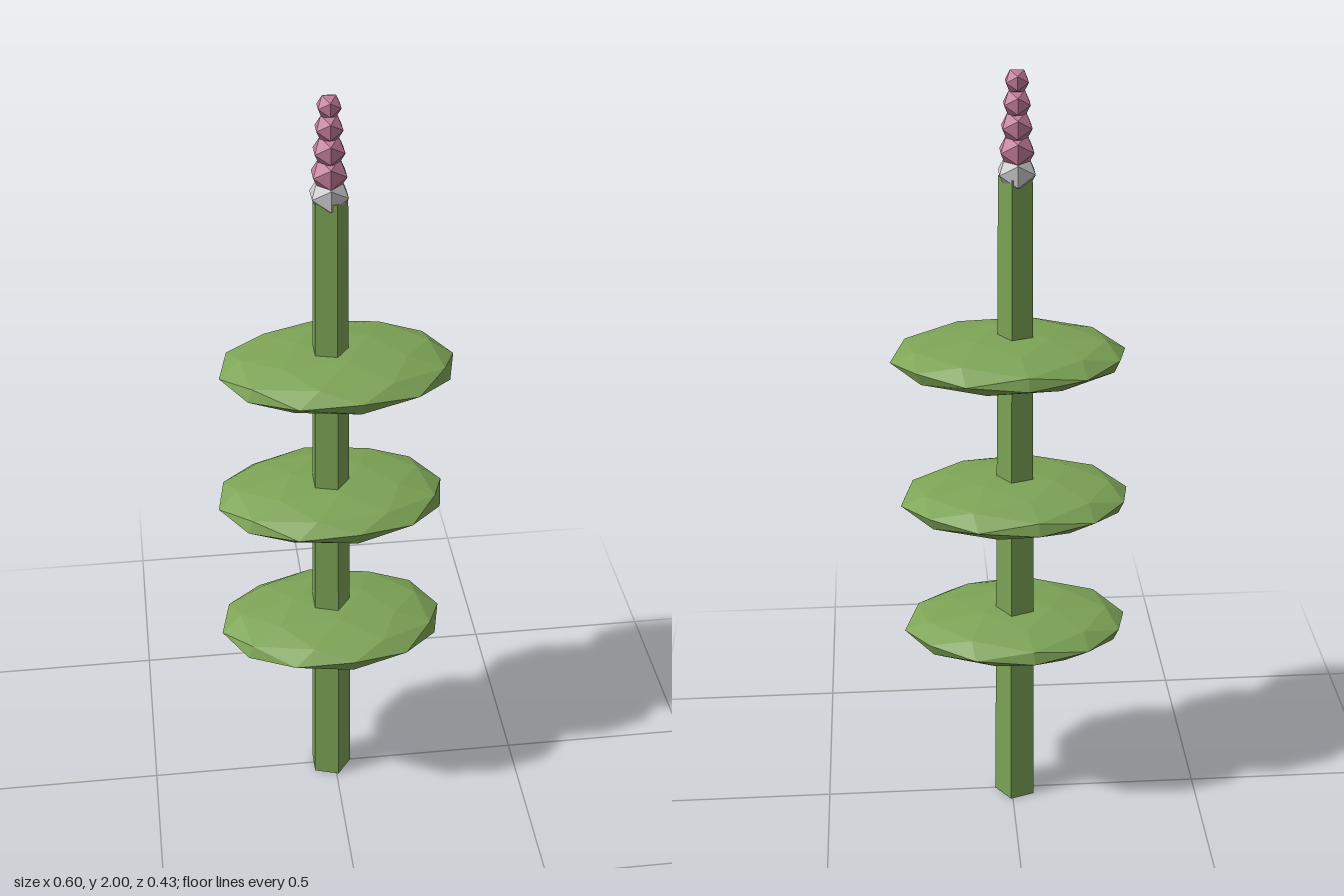
import * as THREE from 'three';

const material = (color) => new THREE.MeshStandardMaterial({ color, flatShading: true });

export function createModel() {
  const group = new THREE.Group();
  const green = material(0x7da456);
  const pink = material(0xc27d99);
  const grey = material(0xcccccc);
  const axisX = -0.012;

  const add = (name, geometry, mat, x, y, z) => {
    const mesh = new THREE.Mesh(geometry, mat);
    mesh.name = name;
    mesh.position.set(x, y, z);
    group.add(mesh);
    return mesh;
  };

  // Five-sided tapering stem with one edge facing +x
  const stem = new THREE.CylinderGeometry(0.044, 0.057, 1.75, 5);
  stem.rotateY(Math.PI / 2);
  add('stem', stem, green, axisX, 0.875, 0);

  // Flattened faceted leaf discs: a face of the ball points up, giving a twelve-sided rim
  const faceUp = new THREE.Quaternion().setFromUnitVectors(
    new THREE.Vector3(1, 1, 1).normalize(), new THREE.Vector3(0, 1, 0));
  const leaves = [
    [-0.01, 0.525, 0.012, 0],
    [-0.007, 0.91, -0.014, 0.04],
    [0.008, 1.295, -0.006, 0],
  ];
  leaves.forEach(([x, y, z, turn], i) => {
    const leaf = new THREE.IcosahedronGeometry(1, 1);
    leaf.applyQuaternion(faceUp);
    leaf.rotateY(turn);
    leaf.scale(0.293, 0.058, 0.207);
    add('leafDisc' + (i + 1), leaf, green, x, y, z);
  });

  // Grey bud base, then pink buds shrinking towards the tip
  add('budBase', new THREE.IcosahedronGeometry(0.05, 0), grey, axisX, 1.758, -0.002);
  const buds = [[1.81, 0.046], [1.867, 0.041], [1.922, 0.036], [1.974, 0.031]];
  buds.forEach(([y, r], i) =>
    add('bud' + (i + 1), new THREE.IcosahedronGeometry(r, 0), pink, axisX, y, -0.002));

  return group;
}
